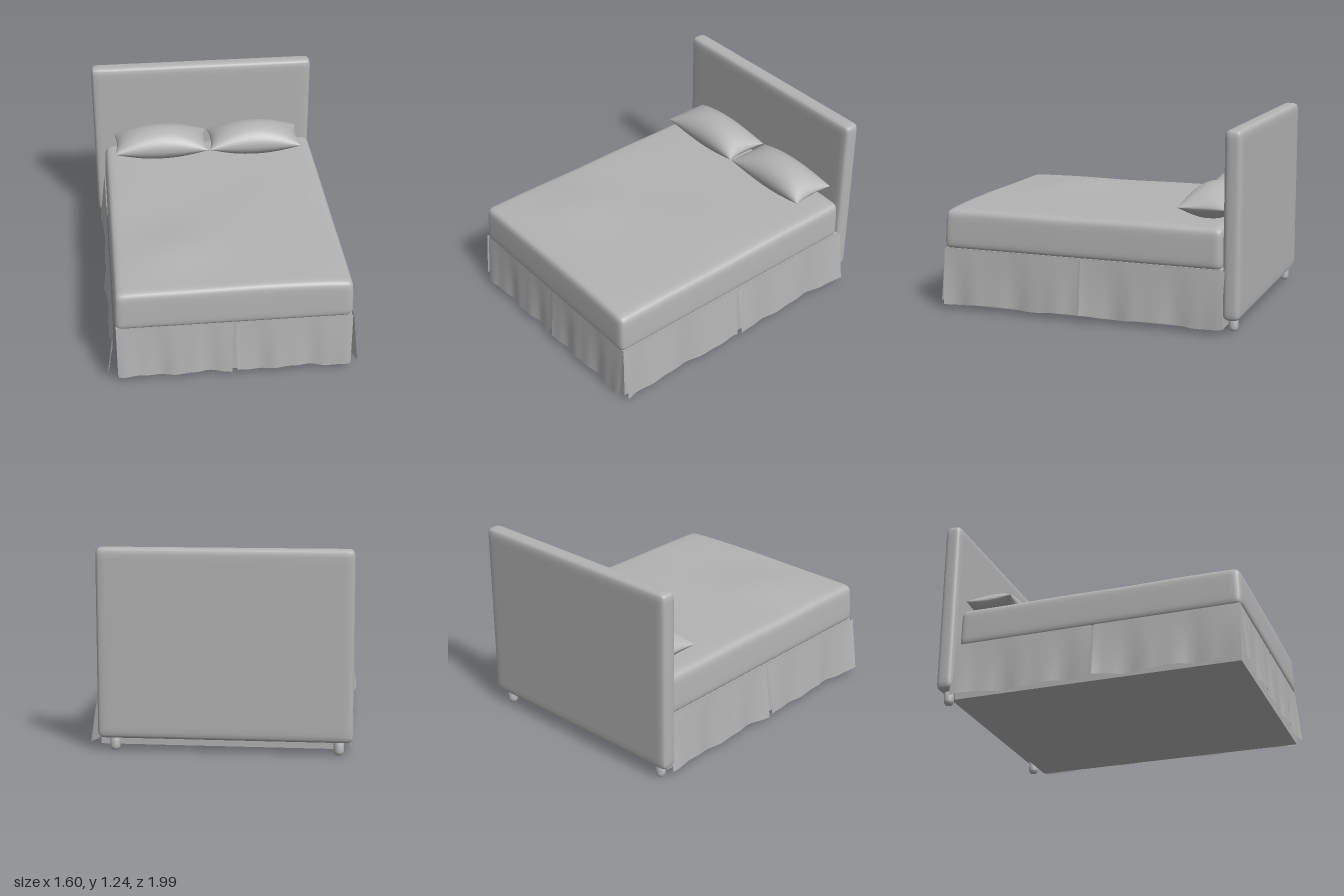
import * as THREE from 'three';
import { mergeVertices, mergeGeometries } from 'three/addons/utils/BufferGeometryUtils.js';

const { sin, cos, abs, exp, pow, max, PI } = Math;

// Weld the seams and smooth the shading
function smooth(geometry) {
  geometry.deleteAttribute('uv');
  geometry.deleteAttribute('normal');
  const welded = mergeVertices(geometry, 1e-4);
  welded.computeVertexNormals();
  return welded;
}

// Move every vertex by a rule
function deform(geometry, rule) {
  const pos = geometry.attributes.position;
  const p = new THREE.Vector3();
  for (let i = 0; i < pos.count; i++) {
    rule(p.fromBufferAttribute(pos, i));
    pos.setXYZ(i, p.x, p.y, p.z);
  }
  return geometry;
}

// Padded box between two corners, with rounded edges and an optional extra rule
function paddedBox(min, max_, radius, segments, rule = () => {}) {
  const lo = new THREE.Vector3(...min), hi = new THREE.Vector3(...max_);
  const half = hi.clone().sub(lo).multiplyScalar(0.5);
  const centre = hi.clone().add(lo).multiplyScalar(0.5);
  const inner = half.clone().subScalar(radius);
  const core = new THREE.Vector3();
  return smooth(deform(new THREE.BoxGeometry(2, 2, 2, ...segments), (p) => {
    // crowd the rows towards the edges
    p.set(sin(p.x * PI / 2), sin(p.y * PI / 2), sin(p.z * PI / 2)).multiply(half);
    core.copy(p).clamp(inner.clone().negate(), inner);
    p.sub(core).setLength(radius).add(core).add(centre);
    rule(p);
  }));
}

// Plump pillow with a pinched seam and pointed corners
function pillowGeometry(halfWidth, halfDepth, rise, drop) {
  const shell = (side) => deform(
    new THREE.PlaneGeometry(2, 2, 28, 20).rotateX(-side * PI / 2), (p) => {
      const u = sin(p.x * PI / 2), v = sin(p.z * PI / 2);
      const a = max(0, 1 - u * u), b = max(0, 1 - v * v);
      const height = pow(a, 0.62) * pow(b, 0.5);
      p.set(u * halfWidth * (1 - 0.06 * b),
        side > 0 ? rise * height : -drop * Math.min(1, 1.25 * height),
        v * halfDepth * (1 - 0.03 * a));
    });
  return smooth(mergeGeometries([shell(1), shell(-1)]));
}

// Hanging cloth panel facing +z: top edge at z = 0, flaring and waving to the hem
function skirtGeometry(width, height, phase, endFlare) {
  return smooth(deform(new THREE.PlaneGeometry(width, height, 36, 10), (p) => {
    const s = p.x / width + 0.5;
    const t = 0.5 - p.y / height;
    const wave = 0.009 * sin(s * 13 + phase) + 0.004 * sin(s * 29 + phase * 2);
    const ends = endFlare * (exp(-s * 9) + exp(-(1 - s) * 9));
    p.z = t * (0.022 + wave + ends);
    p.y += t * t * 0.008 * (1 + sin(s * 11 + phase));
    p.x -= (s - 0.5) * 0.012 * t;
  }));
}

export function createModel() {
  const bed = new THREE.Group();
  bed.name = 'bed';
  const fabric = new THREE.MeshStandardMaterial({ color: 0xb3b3b3, side: THREE.DoubleSide });
  fabric.name = 'grey fabric';

  const add = (name, geometry, x = 0, y = 0, z = 0) => {
    const mesh = new THREE.Mesh(geometry, fabric);
    mesh.name = name;
    mesh.position.set(x, y, z);
    bed.add(mesh);
    return mesh;
  };

  // Upholstered headboard
  add('headboard', paddedBox([-0.8, 0.08, -1], [0.745, 1.24, -0.89], 0.038, [24, 24, 12]));

  // Short rounded feet under the headboard
  const footProfile = [[0, 0], [0.02, 0.002], [0.029, 0.012], [0.031, 0.025], [0.031, 0.1], [0, 0.1]]
    .map(([r, y]) => new THREE.Vector2(r, y));
  for (const x of [-0.715, 0.645]) {
    add('headboardFoot', new THREE.LatheGeometry(footProfile, 20), x, 0, -0.94);
  }

  // Box base behind the skirt
  add('bedBase', new THREE.BoxGeometry(1.47, 0.37, 1.84), 0.005, 0.21, 0.025);

  // Mattress with softly rumpled top and slightly tapered sides
  add('mattress', paddedBox([-0.737, 0.385, -0.885], [0.747, 0.653, 0.96], 0.042, [36, 14, 40], (p) => {
    const t = (p.y - 0.385) / 0.268;
    p.x *= 1 - 0.014 * t * t;
    p.z -= p.z > 0.8 ? 0.01 * t * t : 0;
    const rumple = 0.022 * exp(-((p.x + 0.3) ** 2) / 0.08 - ((p.z - 0.5) ** 2) / 0.06)
      + 0.004 * sin(p.x * 5 + p.z * 4) * cos(p.z * 3);
    p.y += rumple * pow(max(0, t), 4);
    p.y -= 0.012 * pow(abs(p.x) / 0.74, 8) * max(0, t);
  }));

  // Pair of pillows
  for (const [name, x, halfWidth] of [['rightPillow', -0.337, 0.328], ['leftPillow', 0.322, 0.323]]) {
    add(name, pillowGeometry(halfWidth, 0.155, 0.12, 0.085), x, 0.738, -0.73);
  }

  // Skirt: two panels on the front and two down each side
  const top = 0.392, bottom = 0.028, height = top - bottom, midY = (top + bottom) / 2;
  [[-0.73, -0.008], [0.012, 0.745]].forEach(([a, b], i) => {
    add('frontSkirt', skirtGeometry(b - a, height, i * 2.3, 0.008), (a + b) / 2, midY, 0.952);
  });
  for (const side of [-1, 1]) {
    [[-0.91, 0.018], [0.03, 0.955]].forEach(([a, b], i) => {
      const panel = add(side < 0 ? 'rightSkirt' : 'leftSkirt',
        skirtGeometry(b - a, height, 1 + i * 1.9 + side, 0.02),
        side < 0 ? -0.745 : 0.75, midY, (a + b) / 2);
      panel.rotation.y = side * PI / 2;
    });
  }
  return bed;
}
